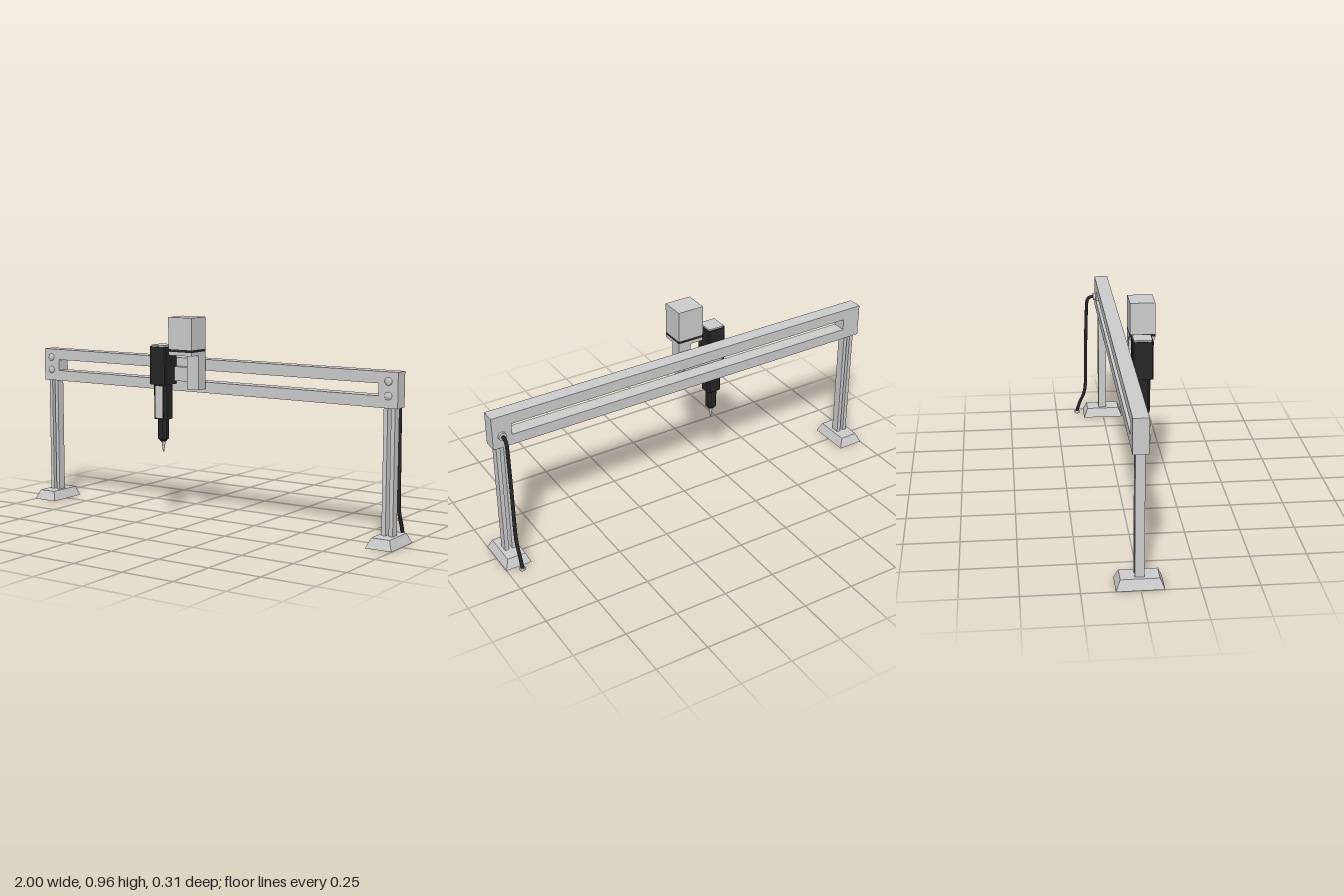
import * as THREE from 'three';

const grey = new THREE.MeshStandardMaterial({ color: 0xcccccc, flatShading: true });
const smooth = new THREE.MeshStandardMaterial({ color: 0xcccccc });
const black = new THREE.MeshStandardMaterial({ color: 0x262626, flatShading: true });
const rubber = new THREE.MeshStandardMaterial({ color: 0x262626 });

export function createModel() {
  const model = new THREE.Group();

  const add = (name, geometry, material = grey, x = 0, y = 0, z = 0) => {
    const mesh = new THREE.Mesh(geometry, material);
    mesh.name = name;
    mesh.position.set(x, y, z);
    model.add(mesh);
    return mesh;
  };

  // Box given by its extents on each axis
  const box = (name, x0, x1, y0, y1, z0, z1, material) =>
    add(name, new THREE.BoxGeometry(x1 - x0, y1 - y0, z1 - z0), material,
      (x0 + x1) / 2, (y0 + y1) / 2, (z0 + z1) / 2);

  // Upright block whose four vertical edges are chamfered by c
  const chamferBlock = (name, x, z, w, d, y0, y1, c, material) => {
    const a = w / 2, b = d / 2;
    const outline = new THREE.Shape([
      [a, -b + c], [a, b - c], [a - c, b], [-a + c, b],
      [-a, b - c], [-a, -b + c], [-a + c, -b], [a - c, -b],
    ].map(([u, v]) => new THREE.Vector2(u, v)));
    const g = new THREE.ExtrudeGeometry(outline, { depth: y1 - y0, bevelEnabled: false });
    g.rotateX(-Math.PI / 2);
    return add(name, g, material, x, y0, z);
  };

  // Slotted cross beam
  const rect = (Type, x, y0, y1) => new Type([
    new THREE.Vector2(-x, y0), new THREE.Vector2(x, y0),
    new THREE.Vector2(x, y1), new THREE.Vector2(-x, y1),
  ]);
  const beam = rect(THREE.Shape, 0.982, 0.605, 0.762);
  beam.holes.push(rect(THREE.Path, 0.89, 0.656, 0.71));
  add('crossBeam', new THREE.ExtrudeGeometry(beam, { depth: 0.067, bevelEnabled: false }), grey, 0, 0, -0.036);

  // Legs: tapered foot, twin-rail post and two domed bolts on each side
  const dome = new THREE.LatheGeometry(
    [[0.017, 0], [0.017, 0.004], [0.013, 0.008], [0, 0.0095]].map(([r, y]) => new THREE.Vector2(r, y)), 20);
  dome.rotateX(Math.PI / 2);
  for (const side of [-1, 1]) {
    const cx = side * 0.9375;
    const foot = new THREE.BoxGeometry(0.125, 0.045, 0.205);
    const p = foot.attributes.position;
    for (let i = 0; i < p.count; i++) {
      if (p.getY(i) > 0) p.setXYZ(i, p.getX(i) * 0.7, p.getY(i), p.getZ(i) * 0.81);
    }
    foot.computeVertexNormals();
    add('foot', foot, grey, cx, 0.0225, -0.002);
    for (const s of [-1, 1]) {
      const rx = cx + s * 0.0175;
      box('postRail', rx - 0.0095, rx + 0.0095, 0.045, 0.606, -0.023, 0.018);
    }
    for (const y of [0.658, 0.721]) add('bolt', dome, smooth, cx, y, 0.031);
  }

  // Carriage plate riding on the beam
  box('carriagePlate', -0.228, -0.02, 0.655, 0.722, 0.03, 0.06);

  // Motor with its bracket
  box('motorBracket', -0.06, 0.003, 0.625, 0.787, 0.04, 0.097);
  box('motorPlate', -0.125, 0.004, 0.785, 0.801, 0.04, 0.155);
  box('motorBand', -0.125, 0.004, 0.801, 0.813, 0.04, 0.155, black);
  box('motorBody', -0.125, 0.004, 0.813, 0.96, 0.04, 0.155);

  // Spindle, stepping down to the bit
  const tx = -0.204, tz = 0.087;
  chamferBlock('spindleHousing', tx, tz, 0.092, 0.094, 0.64, 0.818, 0.006, black);
  chamferBlock('spindleCap', tx, tz, 0.082, 0.084, 0.818, 0.825, 0.006, grey);
  chamferBlock('spindleBody', tx, tz, 0.072, 0.067, 0.475, 0.64, 0.01, black);
  box('spindlePanel', tx - 0.021, tx + 0.021, 0.482, 0.632, 0.115, 0.1225);
  chamferBlock('spindleNose', tx, tz, 0.048, 0.046, 0.38, 0.475, 0.012, black);
  add('collet', new THREE.CylinderGeometry(0.023, 0.014, 0.013, 8), black, tx, 0.374, tz);
  add('bit', new THREE.CylinderGeometry(0.01, 0.003, 0.052, 12), smooth, tx, 0.343, tz);

  // Cable behind the left leg, with a socket above and a plug below
  const cablePath = new THREE.CatmullRomCurve3([
    [0.665, -0.045], [0.663, -0.064], [0.648, -0.078], [0.6, -0.083], [0.37, -0.09],
    [0.16, -0.094], [0.115, -0.103], [0.065, -0.125], [0.014, -0.141],
  ].map(([y, z]) => new THREE.Vector3(0.9375, y, z)));
  add('cable', new THREE.TubeGeometry(cablePath, 60, 0.0085, 12), rubber);
  const socket = add('cableSocket', new THREE.CylinderGeometry(0.019, 0.019, 0.014, 20), smooth, 0.9375, 0.665, -0.041);
  socket.rotation.x = Math.PI / 2;
  add('cablePlug', new THREE.CylinderGeometry(0.013, 0.013, 0.013, 16), smooth, 0.9375, 0.012, -0.14);

  return model;
}
